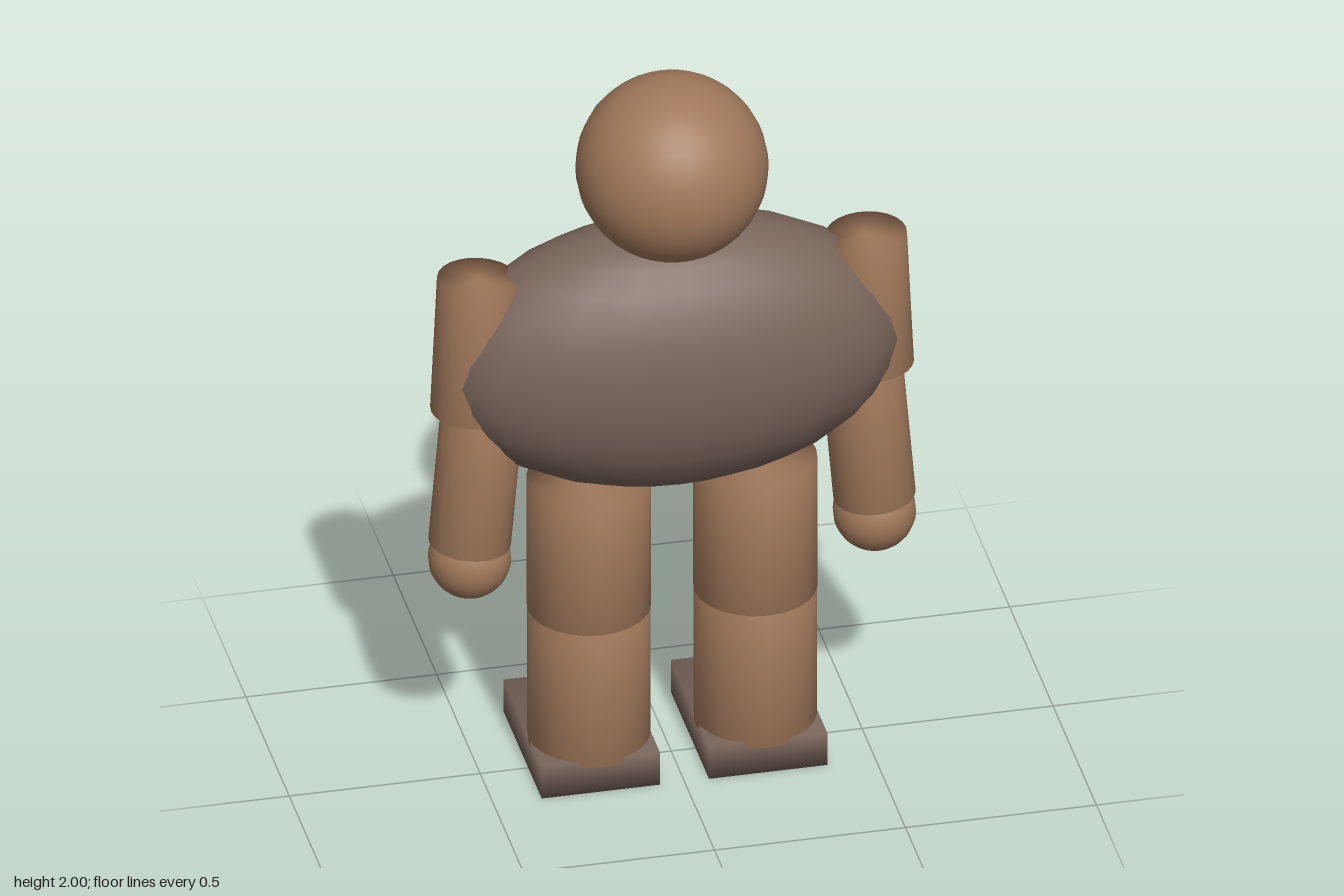
import * as THREE from 'three';
import { mergeVertices } from 'three/addons/utils/BufferGeometryUtils.js';

const material = (name, color) => {
  const m = new THREE.MeshStandardMaterial({ color });
  m.name = name;
  return m;
};

// Weld shared corners so that shading runs smoothly over the edges
function soften(geometry) {
  geometry.deleteAttribute('normal');
  geometry.deleteAttribute('uv');
  const welded = mergeVertices(geometry);
  welded.computeVertexNormals();
  return welded;
}

export function createModel() {
  const skin = material('tan skin', 0xa0785a);
  const hide = material('dark brown hide', 0x78645a);
  const eyeBlue = material('pale blue', 0x64c0d0);
  const zMid = 0.01;
  const model = new THREE.Group();
  model.name = 'golem';

  function add(name, geometry, mat, x, y, z) {
    const mesh = new THREE.Mesh(geometry, mat);
    mesh.name = name;
    mesh.position.set(x, y, z);
    model.add(mesh);
    return mesh;
  }

  // Capped cylinder running from a top point to a bottom point
  function limb(name, r, xTop, yTop, xBottom, yBottom) {
    const dx = xTop - xBottom, dy = yTop - yBottom;
    const geometry = soften(new THREE.CylinderGeometry(r, r, Math.hypot(dx, dy), 24));
    const mesh = add(name, geometry, skin, (xTop + xBottom) / 2, (yTop + yBottom) / 2, zMid);
    mesh.rotation.z = -Math.atan2(dx, dy);
  }

  // Body and head
  const torso = new THREE.SphereGeometry(1, 20, 16);
  torso.scale(0.61, 0.38, 0.27);
  add('torso', torso, hide, 0, 1.215, zMid);
  add('head', new THREE.SphereGeometry(0.247, 32, 24), skin, 0, 1.753, zMid);

  for (const [side, s] of [['left', 1], ['right', -1]]) {
    add(side + 'Eye', new THREE.SphereGeometry(0.045, 16, 12), eyeBlue, s * 0.11, 1.785, -0.217);

    // Arms
    limb(side + 'UpperArm', 0.105, s * 0.508, 1.485, s * 0.526, 1.1);
    limb(side + 'Forearm', 0.106, s * 0.496, 1.105, s * 0.53, 0.705);
    add(side + 'Hand', new THREE.SphereGeometry(0.107, 20, 16), skin, s * 0.53, 0.657, zMid);

    // Legs and feet
    limb(side + 'Thigh', 0.159, s * 0.218, 0.86, s * 0.218, 0.475);
    limb(side + 'Shin', 0.158, s * 0.218, 0.475, s * 0.218, 0.08);
    add(side + 'Foot', soften(new THREE.BoxGeometry(0.31, 0.095, 0.44)), hide, s * 0.219, 0.0475, -0.065);
  }
  return model;
}
